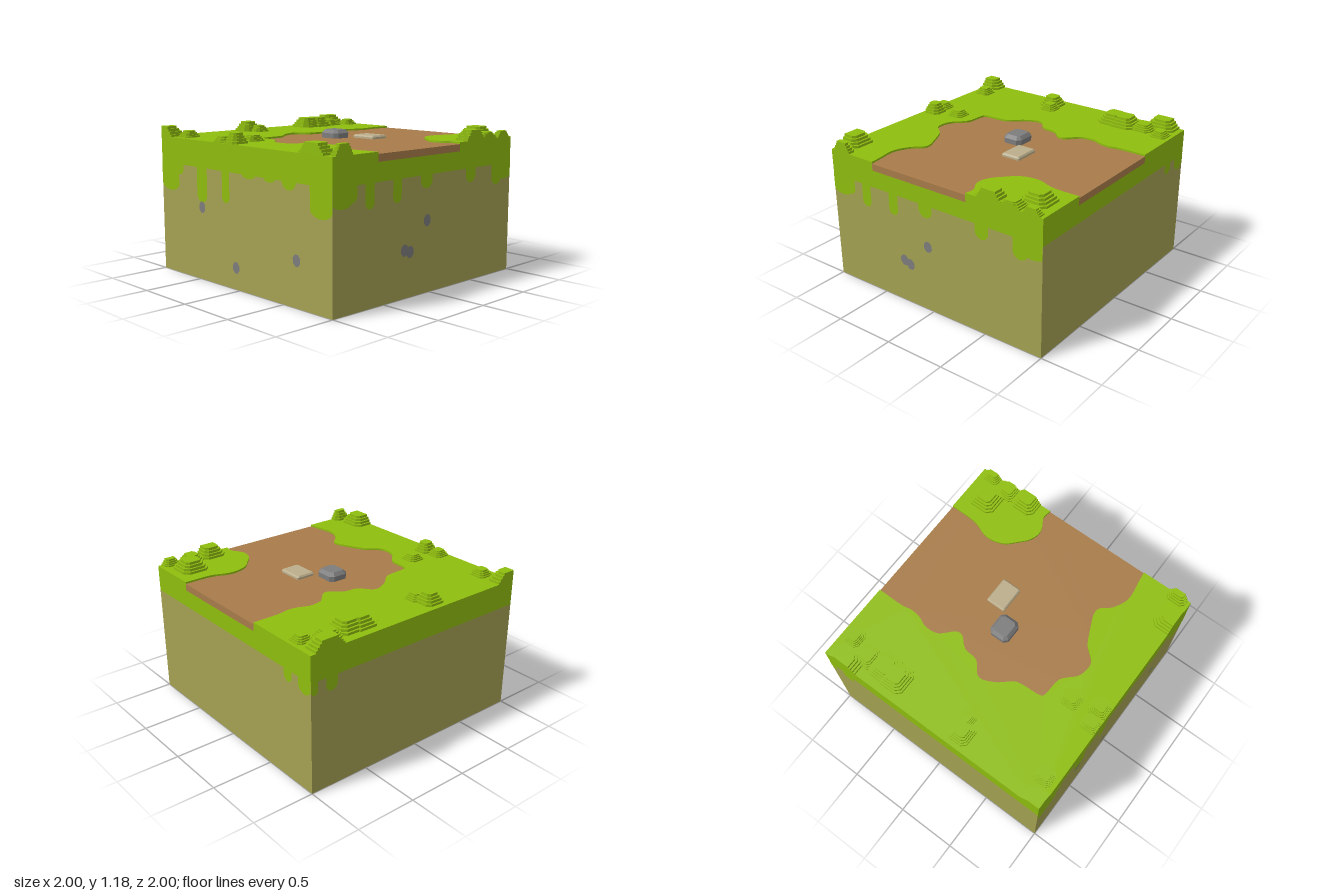
import * as THREE from 'three';

const mat = (name, color, extra = {}) => new THREE.MeshStandardMaterial({ name, color, ...extra });

// Octagonal rings [y, halfX, halfZ, corner] stacked into a faceted lump, kept inside the tile
function stack(cx, cz, rings) {
  const clamp = v => Math.max(-1, Math.min(1, v));
  const loops = rings.map(([y, w, d, c]) =>
    [[w, d - c], [w, c - d], [w - c, -d], [c - w, -d], [-w, c - d], [-w, d - c], [c - w, d], [w - c, d]]
      .map(([x, z]) => [clamp(cx + x), y, clamp(cz + z)]));
  const pos = [];
  for (let k = 0; k + 1 < loops.length; k++) {
    for (let i = 0; i < 8; i++) {
      const j = (i + 1) % 8, lo = loops[k], hi = loops[k + 1];
      pos.push(...lo[i], ...lo[j], ...hi[j], ...lo[i], ...hi[j], ...hi[i]);
    }
  }
  const top = loops[loops.length - 1];
  for (let i = 1; i < 7; i++) pos.push(...top[0], ...top[i], ...top[i + 1]);
  const g = new THREE.BufferGeometry();
  g.setAttribute('position', new THREE.Float32BufferAttribute(pos, 3));
  g.computeVertexNormals();
  return g;
}

// Outline in x and z raised from y0 to y1
function layer(points, y0, y1) {
  const shape = new THREE.Shape(points.map(([x, z]) => new THREE.Vector2(x, -z)));
  return new THREE.ExtrudeGeometry(shape, { depth: y1 - y0, bevelEnabled: false })
    .rotateX(-Math.PI / 2).translate(0, y0, 0);
}

function smooth(points) {
  const curve = new THREE.SplineCurve(points.map(p => new THREE.Vector2(...p)));
  return curve.getPoints(points.length * 3).map(p => [p.x, p.y]);
}

export function createModel() {
  const root = new THREE.Group();
  root.name = 'terrainTile';
  const grass = mat('grass green', 0x8fbe0e);
  const soil = mat('soil khaki', 0xa5a252);
  const dirt = mat('dirt brown', 0xa87c4a);
  const stone = mat('stone grey', 0x7d7d7d);
  const slabMat = mat('pale stone', 0xbbae8c);

  const add = (parent, name, geometry, material) => {
    const m = new THREE.Mesh(geometry, material);
    m.name = name;
    parent.add(m);
    return m;
  };

  // Soil block and lower turf
  add(root, 'soilBlock', new THREE.BoxGeometry(2, 0.89, 2).translate(0, 0.445, 0), soil);
  add(root, 'turfBase', new THREE.BoxGeometry(2, 0.14, 2).translate(0, 0.96, 0), grass);

  // Sunken path between two turf areas
  const mainEdge = smooth([
    [-0.35, -1], [-0.35, -0.78], [-0.335, -0.7], [-0.345, -0.61], [-0.38, -0.52], [-0.37, -0.42],
    [-0.33, -0.37], [-0.27, -0.31], [-0.27, -0.25], [-0.34, -0.17], [-0.36, -0.05], [-0.44, 0.02],
    [-0.46, 0.07], [-0.44, 0.13], [-0.4, 0.2], [-0.33, 0.28], [-0.31, 0.35], [-0.3, 0.5],
    [-0.26, 0.53], [-0.13, 0.54], [-0.07, 0.58], [-0.01, 0.64], [0.06, 0.665], [0.14, 0.66],
    [0.2, 0.6], [0.25, 0.55], [0.4, 0.48], [0.48, 0.45], [0.54, 0.46], [0.6, 0.53],
    [0.7, 0.585], [0.78, 0.595], [0.88, 0.58], [1, 0.565]]);
  const cornerEdge = smooth([
    [0.57, -1], [0.565, -0.78], [0.52, -0.65], [0.515, -0.56], [0.55, -0.46], [0.63, -0.38],
    [0.7, -0.32], [0.78, -0.295], [0.85, -0.31], [0.92, -0.35], [1, -0.34]]);
  add(root, 'mainTurf', layer([...mainEdge, [1, 1], [-1, 1], [-1, -1]], 1.03, 1.1), grass);
  add(root, 'cornerTurf', layer([...cornerEdge, [1, -1]], 1.03, 1.1), grass);
  add(root, 'dirtPath', layer([...mainEdge, ...cornerEdge.slice().reverse()], 1.03, 1.085), dirt);

  // Stepped bushes: x, z, radius, height
  const bushes = new THREE.Group();
  bushes.name = 'bushes';
  root.add(bushes);
  [
    [-0.97, -0.83, 0.125, 0.08], [-0.77, -0.9, 0.07, 0.045], [-0.83, -0.72, 0.09, 0.05],
    [-0.82, -0.55, 0.11, 0.08], [-0.83, -0.44, 0.11, 0.08], [-0.87, 0.21, 0.09, 0.08],
    [-0.77, 0.17, 0.07, 0.05], [-0.99, 0.97, 0.13, 0.08], [-0.77, 0.89, 0.07, 0.05],
    [-0.18, 0.71, 0.075, 0.045], [-0.25, 0.935, 0.07, 0.045], [-0.12, 0.92, 0.075, 0.08],
    [0.79, 0.96, 0.12, 0.08], [1, 0.89, 0.08, 0.08], [0.79, -0.82, 0.115, 0.08],
    [0.95, -0.72, 0.085, 0.05], [0.96, -0.54, 0.105, 0.08], [0.99, -0.9, 0.07, 0.05],
  ].forEach(([x, z, r, h], i) => {
    const rings = [];
    for (let k = 0; k < 4; k++) {
      const s = r * (1 - 0.14 * k);
      for (const t of [k, k + 1]) rings.push([1.098 + (h + 0.003) * t / 4, s, s, s * 0.35]);
    }
    add(bushes, 'bush' + (i + 1), stack(x, z, rings), grass);
  });

  // Rock and flat slab on the path
  add(root, 'rock', stack(-0.033, -0.027, [
    [1.08, 0.095, 0.085, 0.03], [1.125, 0.095, 0.085, 0.03], [1.152, 0.07, 0.062, 0.018]]), stone);
  add(root, 'slab', stack(0.19, -0.2, [
    [1.08, 0.11, 0.082, 0.008], [1.1, 0.11, 0.082, 0.008], [1.112, 0.1, 0.072, 0.008]]), slabMat);

  // Grass drips [from, to, lowest y, rounding] and embedded pebbles [u, y], per side
  const sides = [
    { name: 'front', turn: 0,
      drips: [[-1, -0.765, 0.67, 0.06], [-0.8, -0.7, 0.81], [-0.52, -0.39, 0.62], [-0.2, -0.11, 0.65],
        [0.04, 0.2, 0.862], [0.29, 0.42, 0.862], [0.49, 0.64, 0.83], [0.78, 1, 0.67, 0.06]],
      pebbles: [[-0.46, 0.58], [0.64, 0.345], [-0.043, 0.17]] },
    { name: 'leftSide', turn: Math.PI / 2,
      drips: [[-1, -0.82, 0.74, 0.04], [-0.87, -0.77, 0.77], [-0.69, -0.6, 0.71], [-0.41, -0.32, 0.72],
        [-0.11, 0.02, 0.79], [0.42, 0.54, 0.78], [0.75, 0.88, 0.73], [0.83, 1, 0.765, 0.03]],
      pebbles: [[-0.033, 0.55], [-0.28, 0.36], [-0.22, 0.34]] },
    { name: 'back', turn: Math.PI, drips: [[0.7, 0.79, 0.8], [0.86, 1, 0.78]], pebbles: [] },
    { name: 'rightSide', turn: -Math.PI / 2, drips: [[-1, -0.94, 0.79], [-0.87, -0.77, 0.78]], pebbles: [] },
  ];
  for (const side of sides) {
    const g = new THREE.Group();
    g.name = side.name + 'Details';
    g.rotation.y = side.turn;
    root.add(g);
    for (const [a, b, low, round] of side.drips) {
      const ry = round ?? Math.min((b - a) / 2, 0.895 - low);
      const s = new THREE.Shape();
      s.moveTo(a, 0.9);
      s.lineTo(a, low + ry);
      s.absellipse((a + b) / 2, low + ry, (b - a) / 2, ry, Math.PI, 2 * Math.PI, false);
      s.lineTo(b, 0.9);
      add(g, 'grassDrip', new THREE.ShapeGeometry(s).translate(0, 0, 1.0015), grass);
    }
    for (const [u, y] of side.pebbles) {
      add(g, 'pebble', new THREE.CircleGeometry(0.045, 8, Math.PI / 8).scale(0.92, 1.05, 1)
        .translate(u, y, 1.002), stone);
    }
  }
  return root;
}
